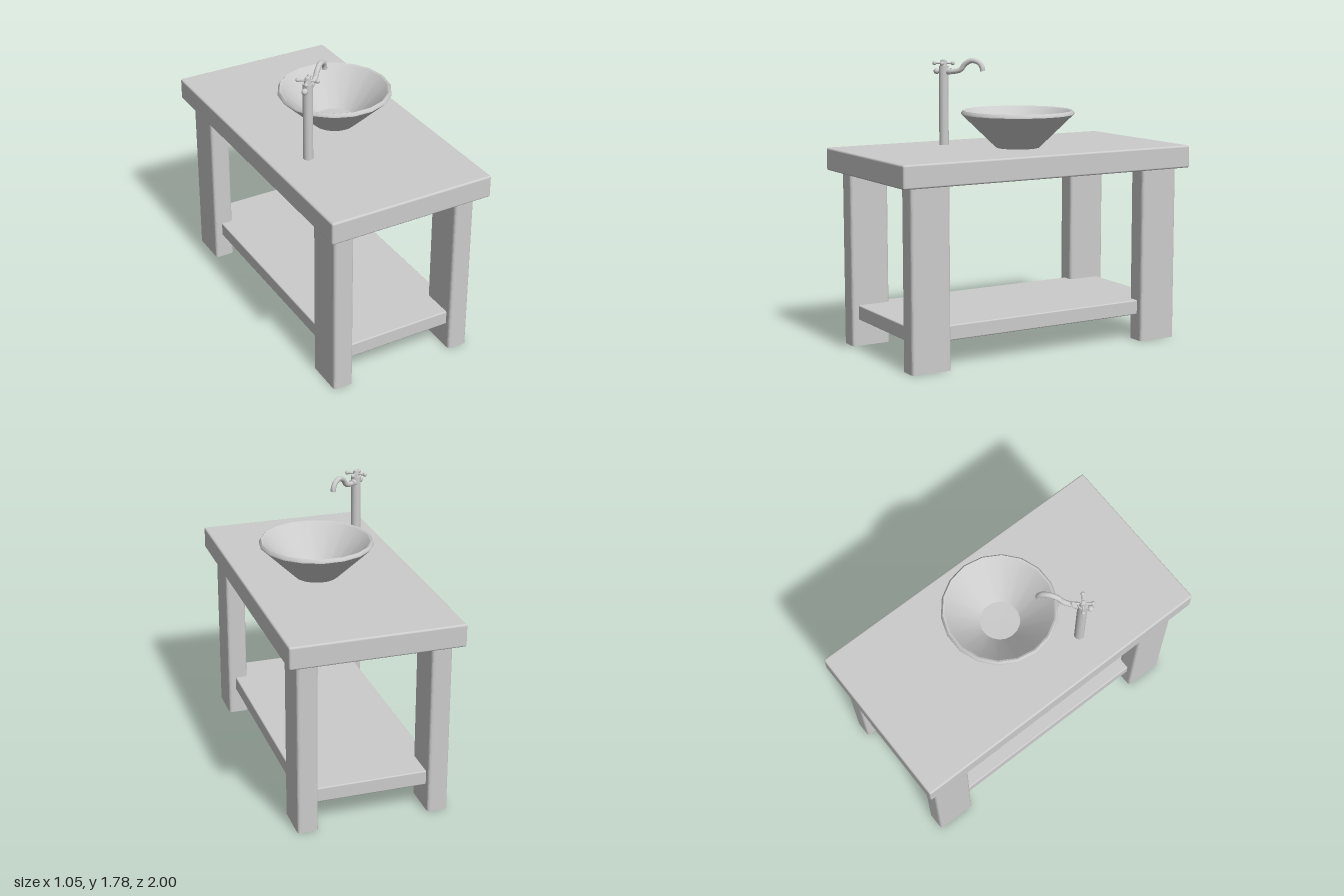
import * as THREE from 'three';
import { RoundedBoxGeometry } from 'three/addons/geometries/RoundedBoxGeometry.js';

const material = new THREE.MeshStandardMaterial({ color: 0xcccccc });
const bowlMaterial = new THREE.MeshStandardMaterial({ color: 0xcccccc, side: THREE.DoubleSide });

function add(parent, name, geometry, x = 0, y = 0, z = 0, mat = material) {
  const mesh = new THREE.Mesh(geometry, mat);
  mesh.name = name;
  mesh.position.set(x, y, z);
  parent.add(mesh);
  return mesh;
}

// Upright post with rounded vertical edges, standing on y = 0
function postGeometry(w, d, h, r) {
  const a = w / 2, b = d / 2;
  const s = new THREE.Shape();
  s.moveTo(-a + r, -b);
  s.lineTo(a - r, -b).quadraticCurveTo(a, -b, a, -b + r);
  s.lineTo(a, b - r).quadraticCurveTo(a, b, a - r, b);
  s.lineTo(-a + r, b).quadraticCurveTo(-a, b, -a, b - r);
  s.lineTo(-a, -b + r).quadraticCurveTo(-a, -b, -a + r, -b);
  return new THREE.ExtrudeGeometry(s, { depth: h, bevelEnabled: false, curveSegments: 5 }).rotateX(-Math.PI / 2);
}

function createTable() {
  const table = new THREE.Group();
  table.name = 'table';
  add(table, 'tabletop', new RoundedBoxGeometry(1.055, 0.14, 2, 3, 0.012), 0, 1.16, 0);
  const leg = postGeometry(0.127, 0.253, 1.1, 0.022);
  for (const x of [-0.405, 0.405]) {
    add(table, 'frontLeg', leg, x, 0, 0.797);
    add(table, 'backLeg', leg, x, 0, -0.812);
  }
  // Shelf ends are let into the legs
  add(table, 'shelf', new RoundedBoxGeometry(0.84, 0.092, 1.78, 2, 0.008), 0, 0.211, -0.008);
  return table;
}

// Conical vessel basin with a faceted rim
function createBasin() {
  const profile = [
    [0, 1.23], [0.135, 1.23], [0.135, 1.23], [0.35, 1.437], [0.35, 1.437],
    [0.349, 1.447], [0.338, 1.46], [0.338, 1.46], [0.327, 1.455], [0.327, 1.455],
    [0.122, 1.25], [0.122, 1.25], [0, 1.248],
  ].map(([r, y]) => new THREE.Vector2(r, y));
  // Separate strips keep the profile edges sharp
  const basin = new THREE.Group();
  basin.name = 'basin';
  basin.position.set(0.065, 0, -0.022);
  const strips = { base: [0, 2], outerWall: [2, 4], rim: [4, 7], rimLip: [7, 9], innerWall: [9, 11], bowlFloor: [11, 13] };
  for (const [name, [from, to]] of Object.entries(strips)) {
    const geometry = new THREE.LatheGeometry(profile.slice(from, to), 18, Math.PI / 2);
    add(basin, name, geometry, 0, 0, 0, bowlMaterial);
  }
  return basin;
}

// Pillar tap; local +x is the direction of the spout
function createFaucet() {
  const faucet = new THREE.Group();
  faucet.name = 'faucet';
  faucet.position.set(-0.295, 0, 0.3);
  faucet.rotation.y = 0.68;
  add(faucet, 'pillar', new THREE.CylinderGeometry(0.03, 0.03, 0.5, 24), 0, 1.473, 0);
  const path = new THREE.CatmullRomCurve3([
    [0, 1.69], [0.07, 1.69], [0.115, 1.703], [0.145, 1.738], [0.19, 1.759],
    [0.238, 1.745], [0.258, 1.715], [0.26, 1.695],
  ].map(([x, y]) => new THREE.Vector3(x, y, 0)));
  add(faucet, 'spout', new THREE.TubeGeometry(path, 40, 0.016, 12));
  const outlet = add(faucet, 'spoutEnd', new THREE.CircleGeometry(0.016, 12), 0.26, 1.695, 0);
  outlet.rotation.x = Math.PI / 2;
  const collar = add(faucet, 'spoutCollar', new THREE.CylinderGeometry(0.021, 0.021, 0.025, 16), 0.037, 1.69, 0);
  collar.rotation.z = Math.PI / 2;
  const stub = add(faucet, 'rearStub', new THREE.CylinderGeometry(0.012, 0.012, 0.04, 12), -0.03, 1.69, 0);
  stub.rotation.z = Math.PI / 2;
  add(faucet, 'rearKnob', new THREE.SphereGeometry(0.019, 16, 12), -0.047, 1.69, 0);

  // Cross handle
  const handle = new THREE.Group();
  handle.name = 'crossHandle';
  handle.position.y = 1.74;
  handle.rotation.y = 0.02;
  faucet.add(handle);
  add(handle, 'hub', new THREE.CylinderGeometry(0.018, 0.022, 0.036, 16));
  add(handle, 'cap', new THREE.SphereGeometry(0.014, 14, 8).scale(1, 0.6, 1), 0, 0.018, 0);
  for (let i = 0; i < 4; i++) {
    const arm = new THREE.Group();
    arm.name = 'handleArm';
    arm.rotation.y = i * Math.PI / 2;
    handle.add(arm);
    add(arm, 'rod', new THREE.CylinderGeometry(0.007, 0.007, 0.055, 10).rotateZ(Math.PI / 2), 0.03, 0, 0);
    add(arm, 'knob', new THREE.SphereGeometry(0.013, 12, 10), 0.058, 0, 0);
  }
  // Arms lie diagonal to the spout
  handle.rotation.y += 0.1 + Math.PI / 4 - 0.68;
  return faucet;
}

export function createModel() {
  const model = new THREE.Group();
  model.name = 'washstand';
  model.add(createTable(), createBasin(), createFaucet());
  return model;
}
